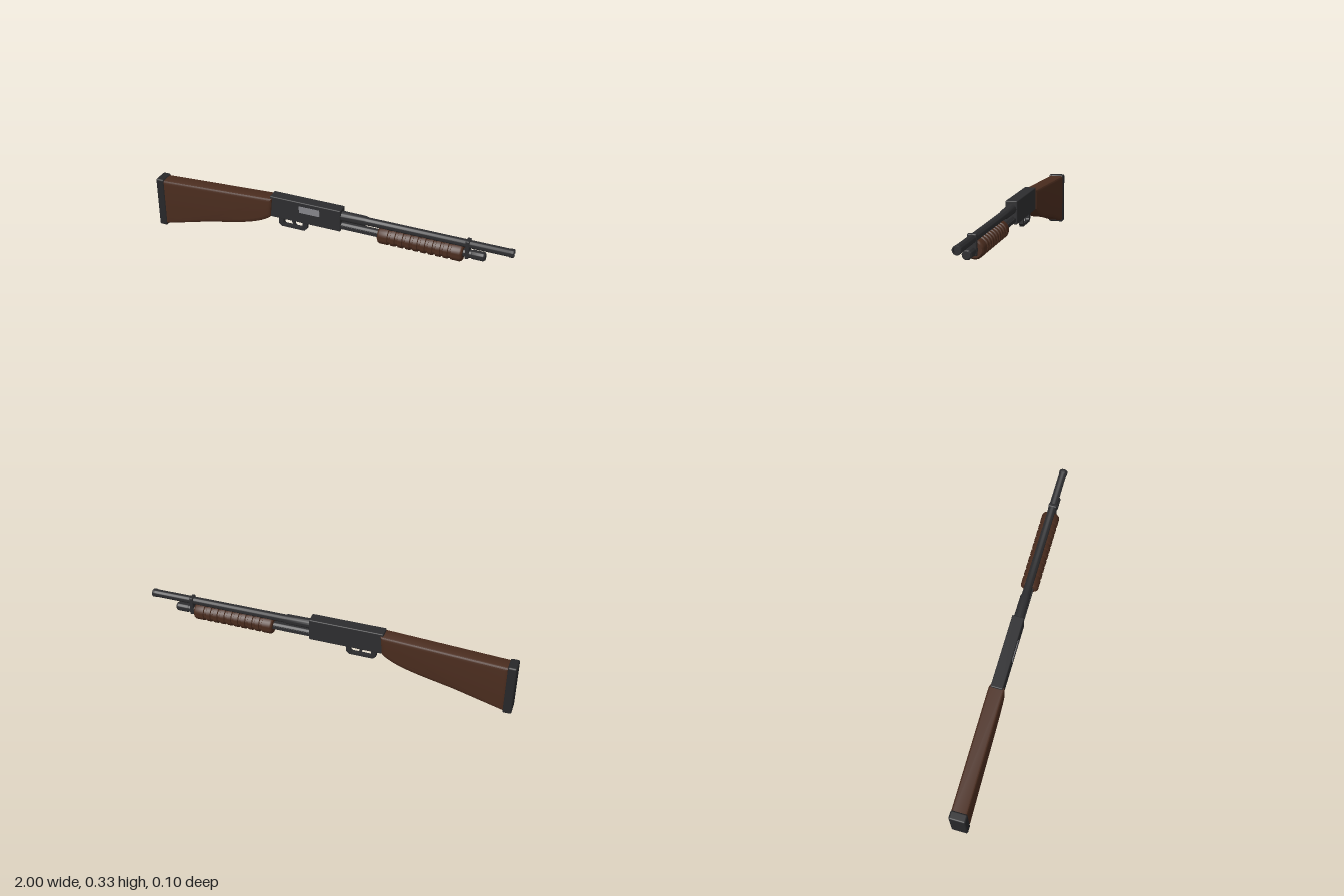
import * as THREE from 'three';
import { RoundedBoxGeometry } from 'three/addons/geometries/RoundedBoxGeometry.js';
import { toCreasedNormals } from 'three/addons/utils/BufferGeometryUtils.js';

export function createModel() {
  const root = new THREE.Group();
  const material = (name, color) => {
    const m = new THREE.MeshStandardMaterial({ color });
    m.name = name;
    return m;
  };
  const wood = material('dark walnut', 0x4a2c1e);
  const metal = material('blued steel', 0x2d2d2f);
  const rubber = material('black rubber', 0x272729);
  const silver = material('bare steel', 0x85858a);

  const add = (name, geometry, mat, x = 0, y = 0, z = 0) => {
    const mesh = new THREE.Mesh(geometry, mat);
    mesh.name = name;
    mesh.position.set(x, y, z);
    root.add(mesh);
    return mesh;
  };
  const box = (name, x0, x1, y0, y1, depth, mat, radius = 0.004, z = 0) =>
    add(name, new RoundedBoxGeometry(x1 - x0, y1 - y0, depth, 2, radius), mat, (x0 + x1) / 2, (y0 + y1) / 2, z);
  // Solid turned about the x axis; profile is [x, radius] from rear to front
  const turned = (name, profile, y, mat) => {
    const g = new THREE.LatheGeometry(profile.map(([x, r]) => new THREE.Vector2(r, x)), 32);
    g.rotateZ(-Math.PI / 2);
    return add(name, toCreasedNormals(g, 0.6), mat, 0, y, 0);
  };
  // Side outline extruded across z, with its bevel kept inside the outline
  const slab = (name, shape, halfWidth, bevel, bevelDepth, segments, mat) => {
    const g = new THREE.ExtrudeGeometry(shape, {
      depth: 2 * (halfWidth - bevelDepth), bevelEnabled: bevel > 0, bevelSize: bevel, bevelOffset: -bevel,
      bevelThickness: bevelDepth, bevelSegments: segments, curveSegments: 10,
    });
    g.translate(0, 0, -(halfWidth - bevelDepth));
    return add(name, toCreasedNormals(g, 0.5), mat);
  };

  // Shoulder stock and butt pad
  const stock = new THREE.Shape();
  stock.moveTo(-0.962, 0.008);
  stock.lineTo(-0.69, 0.082);
  stock.bezierCurveTo(-0.58, 0.107, -0.53, 0.117, -0.47, 0.133);
  stock.bezierCurveTo(-0.4, 0.153, -0.34, 0.175, -0.305, 0.21);
  stock.lineTo(-0.295, 0.319);
  stock.lineTo(-0.962, 0.284);
  stock.closePath();
  slab('stock', stock, 0.043, 0.022, 0.013, 3, wood);
  box('buttPad', -1, -0.953, 0, 0.29, 0.088, rubber, 0.009);

  // Receiver with the ejection port on the +z side
  box('receiver', -0.31, 0.092, 0.208, 0.331, 0.064, metal, 0.005);
  add('ejectionPort', new THREE.BoxGeometry(0.116, 0.038, 0.003), silver, -0.083, 0.289, 0.0325);

  // Trigger guard and trigger
  const guard = new THREE.Shape([
    [-0.268, 0.212], [-0.268, 0.165], [-0.252, 0.15], [-0.122, 0.15], [-0.105, 0.167], [-0.105, 0.212],
  ].map(p => new THREE.Vector2(...p)));
  guard.holes.push(new THREE.Path([
    [-0.242, 0.198], [-0.13, 0.198], [-0.13, 0.172], [-0.138, 0.164], [-0.235, 0.164], [-0.242, 0.172],
  ].map(p => new THREE.Vector2(...p))));
  slab('triggerGuard', guard, 0.011, 0, 0, 1, metal);
  const trigger = new THREE.Shape();
  trigger.moveTo(-0.198, 0.21);
  trigger.quadraticCurveTo(-0.198, 0.185, -0.182, 0.167);
  trigger.lineTo(-0.172, 0.17);
  trigger.quadraticCurveTo(-0.184, 0.188, -0.178, 0.21);
  slab('trigger', trigger, 0.006, 0, 0, 1, metal);

  // Barrel with a thicker breech and a muzzle ring
  turned('barrel', [
    [0.07, 0], [0.07, 0.027], [0.22, 0.026], [0.235, 0.0215], [0.975, 0.0205], [0.979, 0.0225],
    [0.996, 0.0225], [1, 0.02], [1, 0.016], [0.985, 0.016], [0.985, 0],
  ], 0.288, metal);

  // Magazine tube and its end cap
  turned('magazineTube', [[0.07, 0], [0.07, 0.021], [0.8, 0.021], [0.8, 0]], 0.232, metal);
  turned('magazineCap', [
    [0.785, 0], [0.785, 0.019], [0.793, 0.024], [0.852, 0.024], [0.86, 0.018], [0.86, 0],
  ], 0.232, metal);

  // Slide bars on both sides of the magazine tube
  for (const side of [1, -1]) {
    box(side > 0 ? 'slideBarFront' : 'slideBarBack', 0.08, 0.32, 0.222, 0.242, 0.005, metal, 0.001, side * 0.0225);
  }

  // Clamp joining barrel and magazine tube
  box('barrelClamp', 0.757, 0.778, 0.208, 0.312, 0.046, metal, 0.006);

  // Ribbed pump grip
  const grip = [[0.298, 0], [0.298, 0.039], [0.303, 0.045], [0.31, 0.048]];
  const grooves = 9;
  const pitch = 0.04;
  for (let i = 0; i < grooves; i++) {
    const x = 0.362 + i * pitch;
    grip.push([x - 0.009, 0.048], [x - 0.006, 0.042], [x + 0.006, 0.042], [x + 0.009, 0.048]);
  }
  grip.push([0.735, 0.048], [0.742, 0.045], [0.747, 0.039], [0.747, 0]);
  turned('pumpGrip', grip, 0.23, wood);

  return root;
}
